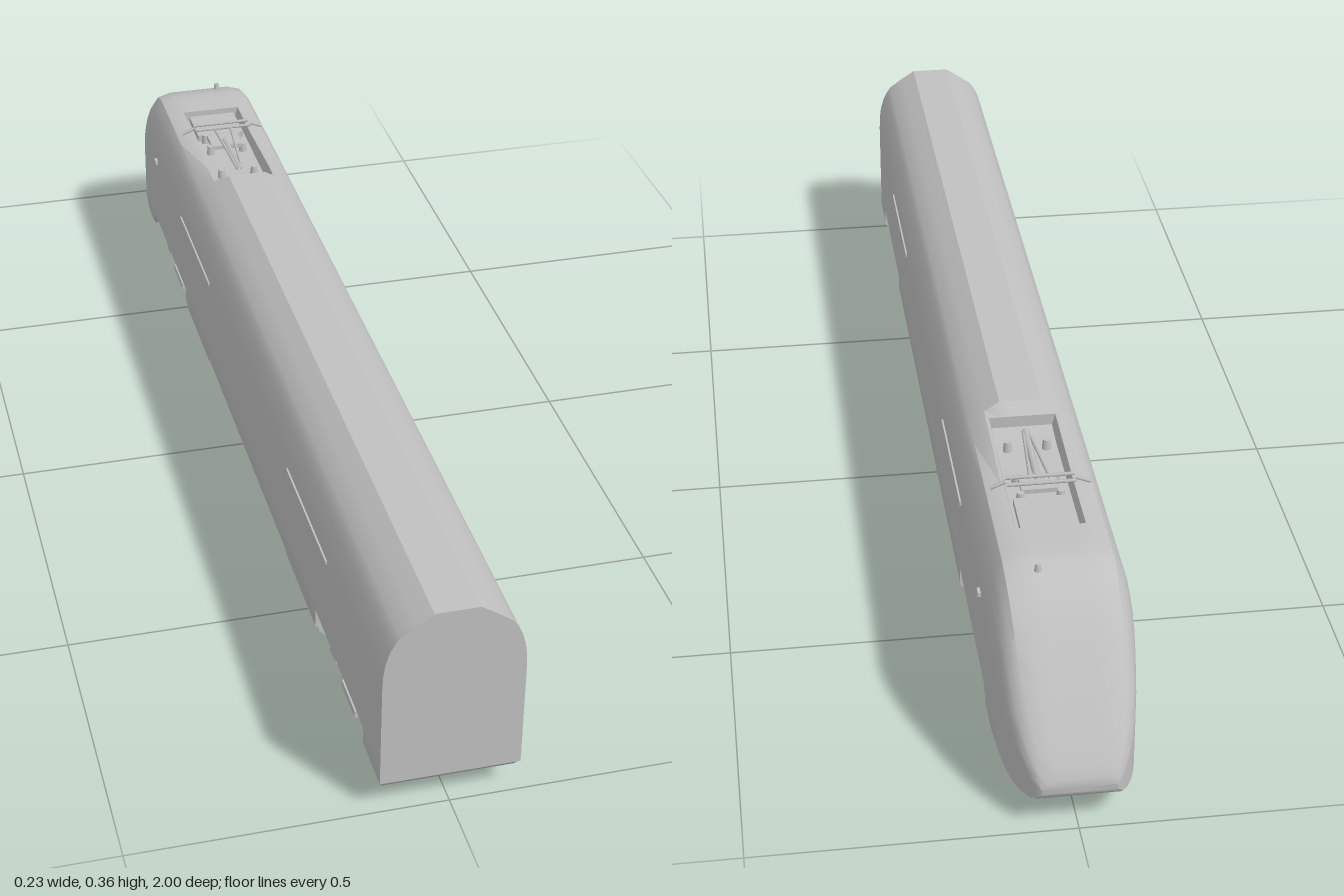
import * as THREE from 'three';
import { toCreasedNormals } from 'three/addons/utils/BufferGeometryUtils.js';

const grey = new THREE.MeshStandardMaterial({ color: 0xc0c0c0 });
grey.name = 'plain grey';

function add(parent, name, geometry, x = 0, y = 0, z = 0) {
  const mesh = new THREE.Mesh(geometry, grey);
  mesh.name = name;
  mesh.position.set(x, y, z);
  parent.add(mesh);
  return mesh;
}
const box = (parent, name, w, h, d, x, y, z) => add(parent, name, new THREE.BoxGeometry(w, h, d), x, y, z);

// Straight round bar between two points
function bar(parent, name, a, b, r) {
  const path = new THREE.LineCurve3(new THREE.Vector3(...a), new THREE.Vector3(...b));
  return add(parent, name, new THREE.TubeGeometry(path, 1, r, 6));
}

// Half cross-section from roof centre to floor centre
const PROFILE = [[0, 0.363], [0.02, 0.363], [0.035, 0.363], [0.06, 0.347], [0.085, 0.329], [0.093, 0.317],
  [0.1, 0.303], [0.106, 0.283], [0.109, 0.262], [0.11, 0.235], [0.11, 0.2], [0.11, 0.1], [0.11, 0.055],
  [0.104, 0.043], [0, 0.043]];

function ring(halfPoints, z) {
  const right = halfPoints.map(([x, y]) => [x, y, z]);
  const left = halfPoints.slice(1, -1).reverse().map(([x, y]) => [-x, y, z]);
  return [...right, ...left];
}

// Straight section with the roof and floor cut off; an optional well sinks into the roof
function hull(z, bottom = 0.043, top = 0.363, floor = null) {
  const pts = PROFILE.map(([x, y]) => [x, Math.max(bottom, Math.min(top, y))]);
  if (floor !== null) {
    pts[0] = [0, floor];
    pts[1] = [0.05, floor];
    pts[2] = [0.055, top];
  }
  return ring(pts, z);
}

// Nose section squeezed to a width and a height range
function nose(z, width, bottom, top) {
  return ring(PROFILE.map(([x, y]) => [x * width / 0.11,
    bottom + (Math.min(y, 0.337) - 0.043) / 0.294 * (top - bottom)]), z);
}

function loft(rings) {
  const pos = [];
  const n = rings[0].length;
  const tri = (a, b, c) => pos.push(...a, ...b, ...c);
  for (let i = 0; i < rings.length - 1; i++) {
    for (let j = 0; j < n; j++) {
      const k = (j + 1) % n;
      const [p, q] = [rings[i], rings[i + 1]];
      tri(p[j], p[k], q[j]);
      tri(p[k], q[k], q[j]);
    }
  }
  const first = rings[0], last = rings[rings.length - 1];
  const mid = (r) => [0, (r[0][1] + r[14][1]) / 2, r[0][2]];
  for (let j = 0; j < n; j++) {
    const k = (j + 1) % n;
    tri(mid(first), first[k], first[j]);
    tri(mid(last), last[j], last[k]);
  }
  const geometry = new THREE.BufferGeometry();
  geometry.setAttribute('position', new THREE.Float32BufferAttribute(pos, 3));
  return toCreasedNormals(geometry, 0.5);
}

function addBogie(parent, name, z) {
  const g = new THREE.Group();
  g.name = name;
  g.position.z = z;
  parent.add(g);
  // Wheelsets with a flange, tread and hub
  const wheel = new THREE.LatheGeometry([[0, -0.008], [0.012, -0.008], [0.014, -0.004], [0.028, -0.004],
    [0.03, -0.008], [0.037, -0.008], [0.038, 0.004], [0.041, 0.006], [0.041, 0.009], [0, 0.009]]
    .map(([r, h]) => new THREE.Vector2(r, -h)).reverse(), 28);
  for (const dz of [-0.1, 0.1]) {
    bar(g, 'axle', [-0.09, 0.041, dz], [0.09, 0.041, dz], 0.008);
    for (const s of [-1, 1]) {
      add(g, 'wheel', toCreasedNormals(wheel, 0.5), s * 0.062, 0.041, dz).rotation.z = -s * Math.PI / 2;
      box(g, 'axleBox', 0.018, 0.026, 0.034, s * 0.086, 0.041, dz);
      box(g, 'brakeShoe', 0.014, 0.022, 0.01, s * 0.062, 0.042, dz + Math.sign(dz) * -0.048);
      bar(g, 'damper', [s * 0.09, 0.035, dz], [s * 0.09, 0.06, dz * 0.45], 0.005);
    }
    box(g, 'motor', 0.085, 0.038, 0.06, 0, 0.045, dz * 0.55);
  }
  // Frame: outer sole bars dipping in the middle, springs and cross beams
  const side = new THREE.Shape([[-0.14, 0.06], [-0.14, 0.07], [0.14, 0.07], [0.14, 0.06], [0.07, 0.056],
    [0.05, 0.034], [-0.05, 0.034], [-0.07, 0.056]].map((p) => new THREE.Vector2(...p)));
  for (const s of [-1, 1]) {
    const frame = add(g, 'sideFrame', new THREE.ExtrudeGeometry(side, { depth: 0.012, bevelEnabled: false }),
      s * 0.086 - 0.006);
    frame.rotation.y = Math.PI / 2;
    add(g, 'airSpring', new THREE.CylinderGeometry(0.019, 0.019, 0.025, 16), s * 0.08, 0.078, 0);
    box(g, 'stepBracket', 0.016, 0.012, 0.08, s * 0.088, 0.024, 0);
  }
  box(g, 'bolster', 0.17, 0.022, 0.06, 0, 0.064, 0);
  for (const dz of [-0.138, 0.138]) box(g, 'endBeam', 0.17, 0.012, 0.012, 0, 0.062, dz);
}

export function createModel() {
  const train = new THREE.Group();
  train.name = 'powerCar';

  // Body shell with bogie cut-outs, roof well and sloping nose
  const low = 0.043, high = 0.084;
  add(train, 'bodyShell', loft([
    hull(1, 0.055), hull(0.99, low), hull(0.905, low), hull(0.905, high),
    hull(0.61, high), hull(0.61, low), hull(-0.43, low), hull(-0.43, high),
    hull(-0.43, high, 0.344, 0.318), hull(-0.57, high, 0.337, 0.318), hull(-0.69, high, 0.337, 0.318),
    hull(-0.69, high, 0.337), hull(-0.735, high, 0.337),
  ].flatMap((r, i) => {
    // The roof steps down ahead of the bogie cut-out
    if (i === 6) return [hull(-0.36, low), hull(-0.38, low, 0.345), hull(-0.38, low, 0.345, 0.325), hull(-0.43, low, 0.344, 0.318)];
    return i === 7 ? [] : [r];
  }).concat([
    hull(-0.765, 0.06, 0.337), nose(-0.775, 0.11, 0.046, 0.335), nose(-0.81, 0.109, 0.044, 0.325),
    nose(-0.84, 0.107, 0.042, 0.304), nose(-0.87, 0.104, 0.041, 0.272), nose(-0.9, 0.1, 0.041, 0.234),
    nose(-0.93, 0.094, 0.042, 0.195), nose(-0.955, 0.086, 0.045, 0.161), nose(-0.975, 0.077, 0.049, 0.132),
    nose(-0.99, 0.067, 0.056, 0.109), nose(-0.998, 0.06, 0.065, 0.093),
    nose(-1, 0.057, 0.071, 0.086)])));

  // Tapered equipment belly between the bogies
  const belly = new THREE.Shape([[-0.104, 0.05], [-0.104, 0.04], [-0.086, 0.022], [0.086, 0.022],
    [0.104, 0.04], [0.104, 0.05]].map((p) => new THREE.Vector2(...p)));
  add(train, 'belly', new THREE.ExtrudeGeometry(belly, { depth: 1.04, bevelEnabled: false }), 0, 0, -0.43);

  addBogie(train, 'rearBogie', 0.765);
  addBogie(train, 'noseBogie', -0.58);
  box(train, 'rearUnderframe', 0.17, 0.016, 0.04, 0, 0.035, 0.93);
  box(train, 'plough', 0.15, 0.022, 0.11, 0, 0.034, -0.83);
  box(train, 'ploughFoot', 0.17, 0.01, 0.05, 0, 0.023, -0.765);

  // Side strips, skirt panels and camera pods
  for (const s of [-1, 1]) {
    for (const z of [0.55, -0.325]) {
      box(train, 'sideStrip', 0.004, 0.006, 0.26, s * 0.111, 0.231, z);
      box(train, 'skirtEdge', 0.004, 0.008, 0.2, s * 0.106, 0.047, z > 0 ? 0.5 : -0.32);
    }
    box(train, 'cameraPod', 0.008, 0.008, 0.014, s * 0.111, 0.229, -0.7);
  }
  add(train, 'roofAerial', new THREE.CylinderGeometry(0.004, 0.006, 0.012, 10), 0.035, 0.336, -0.795);

  // Pantograph folded into the roof well
  const panto = new THREE.Group();
  panto.name = 'pantograph';
  train.add(panto);
  box(panto, 'equipmentTray', 0.09, 0.014, 0.085, 0, 0.323, -0.64);
  box(panto, 'baseFrame', 0.06, 0.008, 0.05, 0, 0.332, -0.56);
  bar(panto, 'lowerArm', [0, 0.334, -0.56], [0, 0.341, -0.42], 0.006);
  for (const s of [-1, 1]) {
    bar(panto, 'upperArm', [s * 0.004, 0.341, -0.42], [s * 0.016, 0.352, -0.58], 0.0025);
    bar(panto, 'horn', [s * 0.055, 0.354, -0.585], [s * 0.08, 0.344, -0.585], 0.003);
    for (const z of [-0.54, -0.59, -0.44]) {
      add(panto, 'insulator', new THREE.CylinderGeometry(0.006, 0.008, 0.018, 10), s * 0.032, 0.326, z);
    }
  }
  for (const z of [-0.575, -0.595]) bar(panto, 'contactStrip', [-0.055, 0.354, z], [0.055, 0.354, z], 0.003);
  return train;
}
